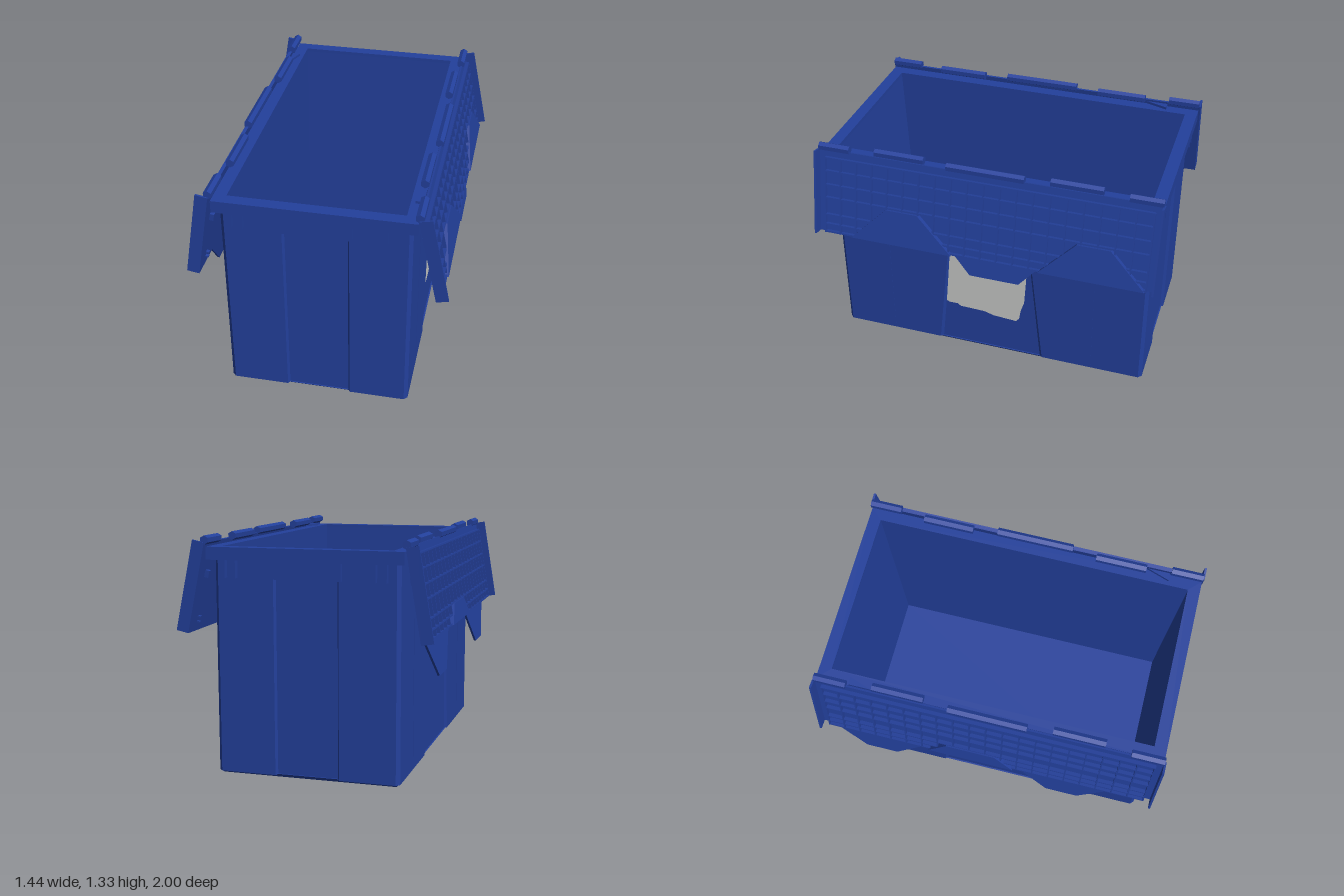
import * as THREE from 'three';

const blue = new THREE.MeshStandardMaterial({ color: 0x23409c });
blue.name = 'blue plastic';
const paper = new THREE.MeshStandardMaterial({ color: 0xc8cac8 });
paper.name = 'paper label';

const CX = -0.01; // the tub sits slightly off centre because the lids hang unevenly

function add(parent, name, geometry, x = 0, y = 0, z = 0, material = blue) {
  const mesh = new THREE.Mesh(geometry, material);
  mesh.name = name;
  mesh.position.set(x, y, z);
  parent.add(mesh);
  return mesh;
}
const box = (w, h, d) => new THREE.BoxGeometry(w, h, d);
const shapeOf = (pts) => new THREE.Shape(pts.map(([a, b]) => new THREE.Vector2(a, b)));
const rectPath = (w, d) => new THREE.Path([[-w, -d], [w, -d], [w, d], [-w, d]].map(([a, b]) => new THREE.Vector2(a, b)));

// Upright plate: outline in (z, y), filling x from a to b
function sidePlate(pts, a, b) {
  const g = new THREE.ExtrudeGeometry(shapeOf(pts), { depth: b - a, bevelEnabled: false });
  return g.rotateY(-Math.PI / 2).translate(b, 0, 0);
}
// Upright prism: plan outline in (x, z), rising from y = 0
function prism(shape, height) {
  return new THREE.ExtrudeGeometry(shape, { depth: height, bevelEnabled: false })
    .rotateX(-Math.PI / 2);
}

function makeTub() {
  const tub = new THREE.Group();
  tub.name = 'tub';
  tub.position.x = CX;

  // Walls with a shallow recess in the middle of every side
  const X = 0.52, Z = 0.945, c = 0.02, e = 0.173, s = 0.32, r = 0.014;
  const quarter = [[X - r, s - 0.008], [X, s + 0.008], [X, Z - c], [X - c, Z], [e + 0.01, Z], [e, Z - r - 0.004]];
  const rev = [...quarter].reverse();
  const plan = shapeOf([
    ...quarter,
    ...rev.map(([x, z]) => [-x, z]),
    ...quarter.map(([x, z]) => [-x, -z]),
    ...rev.map(([x, z]) => [x, -z]),
  ]);
  plan.holes.push(rectPath(0.485, 0.922));
  const walls = prism(plan, 1.19);
  const p = walls.attributes.position;
  for (let i = 0; i < p.count; i++) {
    // side recesses narrow towards the top
    if (Math.abs(p.getX(i)) > 0.45 && Math.abs(p.getZ(i)) < 0.4 && p.getY(i) > 0.5) p.setZ(i, p.getZ(i) * 0.61);
  }
  walls.computeVertexNormals();
  add(tub, 'walls', walls, 0, 0.015, 0);

  // Base with chamfered edge
  const base = box(1.03, 0.02, 1.87);
  const bp = base.attributes.position;
  for (let i = 0; i < bp.count; i++) {
    if (bp.getY(i) < 0) bp.setXYZ(i, bp.getX(i) * 0.97, bp.getY(i), bp.getZ(i) * 0.98);
  }
  base.computeVertexNormals();
  add(tub, 'base', base, 0, 0.01, 0);

  // Inner lining: open-topped box seen from inside, with sloping ends
  const lining = box(0.96, 1.22, 1.84);
  const lp = lining.attributes.position;
  for (let i = 0; i < lp.count; i++) if (lp.getY(i) < 0) lp.setZ(i, lp.getZ(i) * 0.945);
  lining.setIndex([...lining.index.array].filter((_, i) => i < 12 || i > 17));
  lining.clearGroups();
  lining.scale(-1, 1, 1);
  lining.computeVertexNormals();
  add(tub, 'lining', lining, 0, 0.64, 0);

  // Rim
  const rim = shapeOf([[-0.55, -0.99], [0.55, -0.99], [0.55, 0.99], [-0.55, 0.99]]);
  rim.holes.push(rectPath(0.48, 0.92));
  add(tub, 'rim', prism(rim, 0.07), 0, 1.2, 0);

  // End handles and gussets beneath the rim
  for (const end of [-1, 1]) {
    add(tub, 'handle', box(0.405, 0.1, 0.045), 0, 1.152, end * 0.95);
    for (const x of [-0.45, -0.39, 0.39, 0.45]) {
      add(tub, 'gusset', box(0.008, 0.1, 0.04), x, 1.152, end * 0.96);
    }
  }

  // Corner creases along the long sides
  for (const side of [-1, 1]) for (const z of [-0.63, 0.63]) {
    add(tub, 'crease', box(0.004, 1.17, 0.006), side * 0.52, 0.605, z);
  }
  return tub;
}

// Interlocking lid edge in (z, offset): positive is a tongue, negative a seat
const toothA = [[0.78, 0], [0.57, 0.21], [0.38, 0.21], [0.17, 0]];
const toothB = [[0.17, 0], [0.06, 0.112], [-0.23, 0.112], [-0.34, 0]];
const toothC = [[-0.34, 0], [-0.55, 0.21], [-0.74, 0.21], [-0.945, 0]];

function makeLid(s) {
  const lid = new THREE.Group();
  lid.name = s > 0 ? 'leftLid' : 'rightLid';
  lid.position.set(s > 0 ? 0.545 : -0.568, 1.292, 0);
  lid.rotation.z = s * (s > 0 ? 0.207 : 0.167);
  const L = 0.508, T = 0.012, D = 0.022;
  const plate = (pts, a, b) => (s > 0 ? sidePlate(pts, a, b) : sidePlate(pts, -b, -a));

  add(lid, 'panel', box(T, L, 1.98), s * T / 2, -L / 2, 0);
  const tongues = s > 0 ? [toothB] : [toothA, toothC];
  const seats = s > 0 ? [toothA, toothC] : [toothB];
  for (const t of tongues) {
    add(lid, 'tongue', plate(t.map(([z, o]) => [z, -L - o + (o ? 0 : 0.01)]), 0, T));
  }
  for (const t of seats) {
    add(lid, 'seat', plate(t.map(([z, o]) => [z, -L + o]), T / 2, T + D + 0.008));
  }

  // Grid of stiffening ribs
  for (const y of [0.045, 0.125, 0.21, 0.29, 0.395, 0.455, 0.502]) {
    add(lid, 'crossRib', box(D, 0.009, 1.9), s * (T + D / 2), -y, 0);
  }
  for (let i = -10; i <= 10; i++) {
    add(lid, 'longRib', box(D, L - 0.045, 0.008), s * (T + D / 2), -0.045 - (L - 0.045) / 2, i * 0.095);
  }

  // End flanges, with small lugs on the inner face
  for (const end of [-1, 1]) {
    add(lid, 'flange', box(0.07, L, 0.012), s * 0.035, -L / 2, end * 0.994);
    add(lid, 'lug', box(0.025, 0.04, 0.03), s * -0.012, -0.18, end * 0.9);
    for (const y of [0.425, 0.455]) add(lid, 'peg', box(0.018, 0.008, 0.02), s * -0.009, -y, end * 0.9);
  }
  return lid;
}

function makeHinges(s) {
  const hinges = new THREE.Group();
  hinges.name = s > 0 ? 'leftHinge' : 'rightHinge';
  // [centre z, length, outward shift]
  const knuckles = [
    [0.515, 0.295, 0], [-0.515, 0.295, 0],
    [0, 0.45, 0.022], [0.9, 0.185, 0.022], [-0.9, 0.185, 0.022],
  ];
  for (const [z, len, shift] of knuckles) {
    const g = new THREE.CylinderGeometry(0.025, 0.025, len, 6).toNonIndexed();
    g.computeVertexNormals();
    g.rotateX(Math.PI / 2);
    add(hinges, 'knuckle', g, -0.012 + s * (0.537 + shift), 1.305, z);
  }
  // Wedge-shaped catch on the rim
  const catchShape = shapeOf([[0, 0], [0.045, 0], [0.045, 0.13]]);
  const wedge = add(hinges, 'catch', prism(catchShape, 0.02), CX + s * 0.505, 1.265, s * 0.8);
  if (s < 0) wedge.rotation.y = Math.PI;
  return hinges;
}

export function createModel() {
  const crate = new THREE.Group();
  crate.name = 'lidded crate';
  crate.add(makeTub());
  for (const s of [1, -1]) crate.add(makeLid(s), makeHinges(s));

  // Torn paper labels
  const label = [
    [0.24, 0.765], [0.28, 0.31], [0.265, 0.3], [0.21, 0.3], [0.19, 0.285], [0.04, 0.28],
    [-0.02, 0.262], [-0.16, 0.252], [-0.18, 0.275], [-0.19, 0.34], [-0.21, 0.4], [-0.23, 0.7], [-0.1, 0.75], [0.14, 0.77],
  ];
  add(crate, 'label', sidePlate(label, 0.494, 0.5), 0, 0, 0, paper);
  const scrap = [[-0.03, 0.61], [0.04, 0.6], [0.1, 0.62], [0.1, 0.74], [-0.02, 0.75]];
  add(crate, 'labelScrap', sidePlate(scrap, -0.52, -0.514), 0, 0, 0, paper);
  return crate;
}
